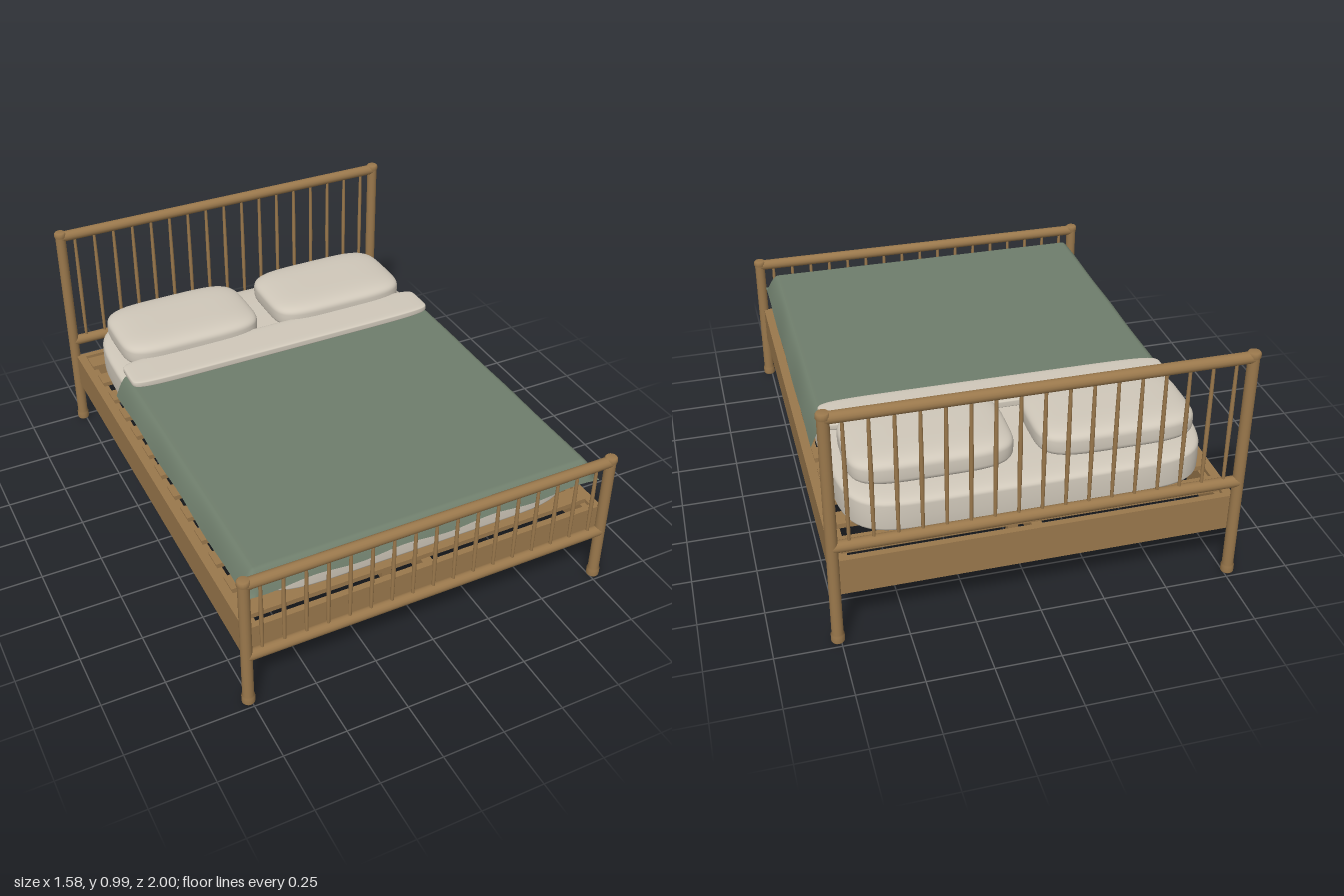
import * as THREE from 'three';
import { mergeVertices } from 'three/addons/utils/BufferGeometryUtils.js';

const material = (name, color, side = THREE.FrontSide) => {
  const m = new THREE.MeshStandardMaterial({ color, side });
  m.name = name;
  return m;
};

const spow = (v, e) => Math.sign(v) * Math.pow(Math.abs(v), e);

// Soft padded block: a sphere squared off in plan and in profile
function softBlock(w, h, d, plan, profile) {
  const ball = new THREE.SphereGeometry(1, 64, 32);
  ball.deleteAttribute('uv');
  ball.deleteAttribute('normal');
  const geo = mergeVertices(ball, 1e-5);
  const p = geo.attributes.position;
  for (let i = 0; i < p.count; i++) {
    const y = p.getY(i);
    const r = Math.sqrt(Math.max(0, 1 - y * y));
    const a = Math.atan2(p.getZ(i), p.getX(i));
    const spread = spow(r, 2 / profile);
    p.setXYZ(i,
      w / 2 * spread * spow(Math.cos(a), 2 / plan),
      h / 2 * spow(y, 2 / profile),
      d / 2 * spread * spow(Math.sin(a), 2 / plan));
  }
  geo.computeVertexNormals();
  return geo;
}

// Bed cover: flat on top, curling down to a wavy hem at the sides and foot
function coverGeometry() {
  const nx = 72, nz = 72, backZ = -0.415, footZ = 0.945, halfX = 0.745, roll = 0.055;
  const geo = new THREE.PlaneGeometry(2, 1, nx, nz);
  geo.rotateX(-Math.PI / 2);
  const p = geo.attributes.position;
  // Pack more samples into the curled border
  const ease = t => t < 0.75 ? t / 0.75 * (1 - 0.08) : 0.92 + (t - 0.75) / 0.25 * 0.08;
  for (let i = 0; i < p.count; i++) {
    const u = p.getX(i), v = p.getZ(i) + 0.5;
    const x = Math.sign(u) * ease(Math.abs(u)) * halfX;
    const z = backZ + ease(v) * (footZ - backZ);
    const ex = Math.max(0, (Math.abs(x) - halfX + roll) / roll);
    const ez = Math.max(0, (z - footZ + roll) / roll);
    const e = Math.min(1, Math.hypot(ex, ez));
    const wave = 0.007 * Math.sin(x * 17 + z * 13 + 0.6);
    p.setXYZ(i, x, 0.565 - Math.pow(e, 1.7) * (0.08 + wave), z);
  }
  geo.computeVertexNormals();
  return geo;
}

export function createModel() {
  const bed = new THREE.Group();
  bed.name = 'bed';
  const wood = material('oak wood', 0x9a784c);
  const linen = material('pale linen', 0xd0c8ba);
  const green = material('sage green', 0x6f7e6c, THREE.DoubleSide);

  const add = (parent, name, geo, mat, x = 0, y = 0, z = 0) => {
    const mesh = new THREE.Mesh(geo, mat);
    mesh.name = name;
    mesh.position.set(x, y, z);
    parent.add(mesh);
    return mesh;
  };
  const box = (parent, name, w, h, d, x, y, z) =>
    add(parent, name, new THREE.BoxGeometry(w, h, d), wood, x, y, z);
  const lathe = (points, sides) =>
    new THREE.LatheGeometry(points.map(([r, y]) => new THREE.Vector2(r, y)), sides);

  const postX = 0.762, endZ = 0.974;

  // Headboard and footboard share one layout of posts, rails and spindles
  function endPanel(name, z, height, lowRailY) {
    const panel = new THREE.Group();
    panel.name = name;
    panel.position.z = z;
    const railY = height - 0.023;
    for (const s of [-1, 1]) {
      const post = lathe([[0, 0.01], [0.023, 0.01], [0.0255, 0.014], [0.0255, 0.042],
        [0.022, 0.048], [0.022, height - 0.025], [0.0255, height - 0.02],
        [0.0255, height - 0.006], [0.021, height], [0, height]], 16);
      add(panel, 'post', post, wood, s * postX);
    }
    for (const y of [railY, lowRailY]) {
      const rail = new THREE.CylinderGeometry(0.0225, 0.0225, postX * 2, 16);
      rail.rotateZ(Math.PI / 2);
      add(panel, 'rail', rail, wood, 0, y);
    }
    const span = railY - lowRailY;
    const spindle = lathe([[0.006, 0], [0.0075, span * 0.25], [0.0085, span * 0.5],
      [0.0075, span * 0.75], [0.006, span]], 10);
    for (let i = 0; i < 17; i++) {
      add(panel, 'spindle', spindle, wood, -0.7 + i * 0.0875, lowRailY);
    }
    bed.add(panel);
  }
  endPanel('headboard', -endZ, 0.99, 0.435);
  endPanel('footboard', endZ, 0.61, 0.243);

  // Frame boards with inner ledges under the slats
  for (const s of [-1, 1]) {
    box(bed, 'sideBoard', 0.036, 0.15, 1.91, s * 0.743, 0.285, 0);
    box(bed, 'slatLedge', 0.025, 0.03, 1.87, s * 0.714, 0.33, 0);
    box(bed, 'endBoard', 1.49, 0.15, 0.026, 0, 0.285, s * 0.95);
  }

  // Slats, centre beam and support legs
  for (let i = 0; i < 13; i++) {
    box(bed, 'slat', 1.45, 0.02, 0.075, 0, 0.356, -0.87 + i * 0.145);
  }
  box(bed, 'centreBeam', 0.04, 0.075, 1.88, 0, 0.3085, 0);
  for (const z of [-0.605, 0.605]) {
    box(bed, 'centreLeg', 0.04, 0.28, 0.04, 0, 0.14, z);
  }

  // Bedding
  add(bed, 'mattress', softBlock(1.42, 0.16, 1.826, 8, 9), linen, 0, 0.462, 0);
  add(bed, 'cover', coverGeometry(), green);
  add(bed, 'foldedSheet', softBlock(1.4, 0.034, 0.185, 8, 7), linen, 0, 0.584, -0.378);
  for (const s of [-1, 1]) {
    add(bed, 'pillow', softBlock(0.624, 0.118, 0.402, 4.5, 4.2), linen, s * 0.352, 0.599, -0.64);
  }
  return bed;
}
